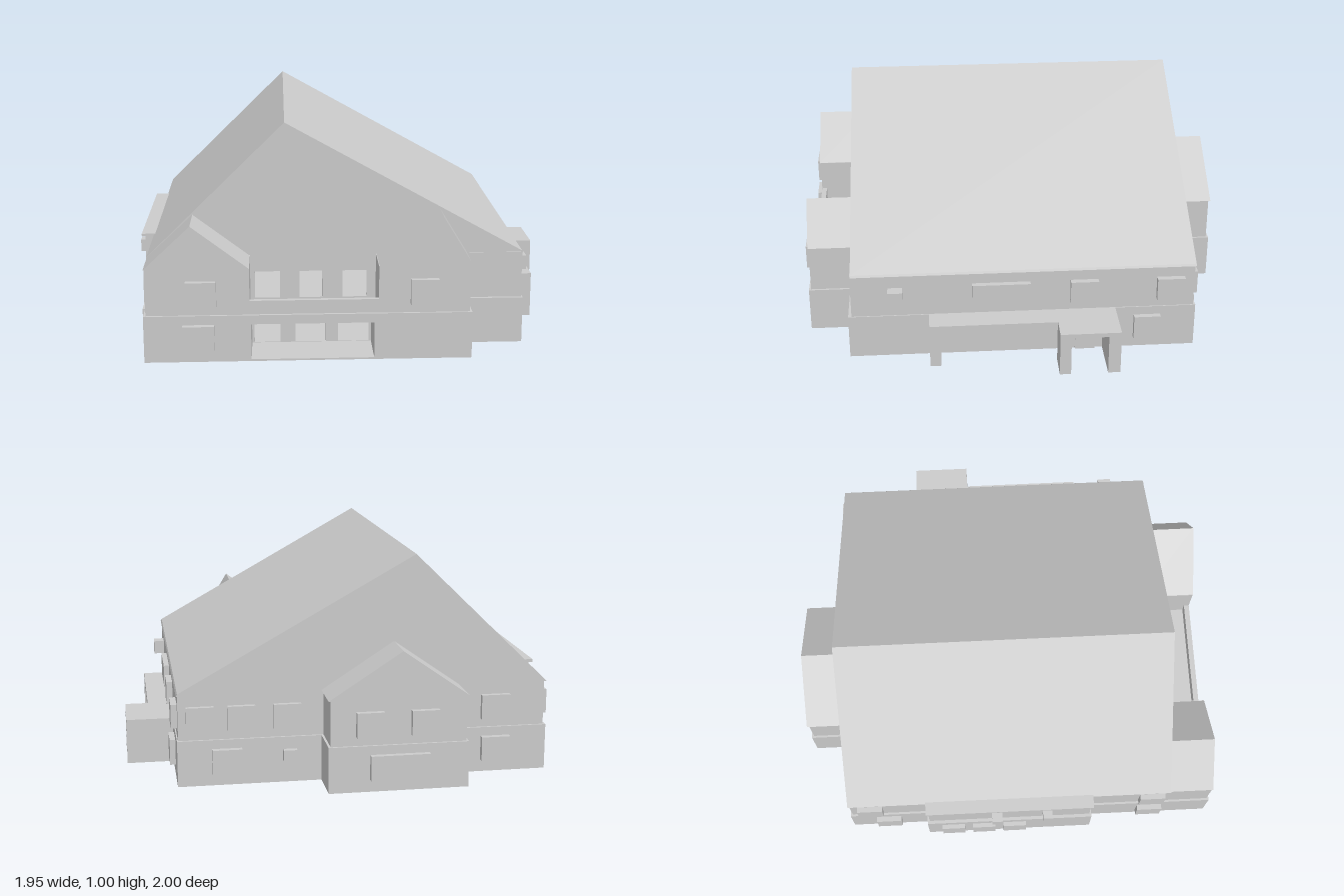
import * as THREE from 'three';

const mat = new THREE.MeshStandardMaterial({ color: 0xcccccc, flatShading: true, side: THREE.DoubleSide });

export function createModel() {
  const house = new THREE.Group();
  house.name = 'house';

  const add = (name, geo, parent = house) => {
    const m = new THREE.Mesh(geo, mat);
    m.name = name;
    parent.add(m);
    return m;
  };
  // Box given by its extents
  const box = (name, x0, x1, y0, y1, z0, z1) =>
    add(name, new THREE.BoxGeometry(x1 - x0, y1 - y0, z1 - z0))
      .position.set((x0 + x1) / 2, (y0 + y1) / 2, (z0 + z1) / 2);
  const shapeOf = pts => new THREE.Shape(pts.map(p => new THREE.Vector2(p[0], p[1])));
  const rect = (x0, x1, y0, y1) => shapeOf([[x0, y0], [x1, y0], [x1, y1], [x0, y1]]);
  const extrude = (shape, depth) => new THREE.ExtrudeGeometry(shape, { depth, bevelEnabled: false });

  // Horizontal slab from a plan outline of [x, z] corners
  const slab = (name, plan, y0, y1) => {
    const geo = extrude(shapeOf(plan.map(([x, z]) => [x, -z])), y1 - y0);
    add(name, geo.rotateX(-Math.PI / 2).translate(0, y0, 0));
  };
  // One wall from a to b, outside to the right; holes are [u0, u1, y0, y1]
  const wall = (name, a, b, y0, y1, holes = [], t = 0.02) => {
    const dx = b[0] - a[0], dz = b[1] - a[1];
    const shape = rect(0, Math.hypot(dx, dz), y0, y1);
    holes.forEach(h => shape.holes.push(rect(...h)));
    const m = add(name, extrude(shape, t).translate(0, 0, -t));
    m.position.set(a[0], 0, a[1]);
    m.rotation.y = Math.atan2(-dz, dx);
  };
  // Closed ring of walls; openings are keyed by the wall's index
  const storey = (name, plan, y0, y1, openings) =>
    plan.forEach((a, i) => wall(name, a, plan[(i + 1) % plan.length], y0, y1, openings[i]));
  // Gable prism along z
  const gable = (name, pts, z0, z1) => add(name, extrude(shapeOf(pts), z1 - z0).translate(0, 0, z0));

  // Ground storey, with the wide porch opening in the front wall
  const lower = [
    [-0.89, 0.97], [0.51, 0.97], [0.51, 0.78], [0.76, 0.78], [0.76, -0.785],
    [0.13, -0.785], [0.13, -0.975], [-0.485, -0.975], [-0.485, -0.785], [-0.89, -0.785],
    [-0.89, -0.41], [-0.945, -0.41], [-0.945, 0.39], [-0.89, 0.39],
  ];
  storey('groundFloorWall', lower, 0.021, 0.224, { 0: [[0.455, 0.98, 0.022, 0.185]] });
  slab('groundFloorSlab', lower, 0.02, 0.028);
  slab('upperFloorSlab', lower, 0.205, 0.225);

  // Porch recess under the balcony
  wall('porchBackWall', [-0.435, 0.76], [0.09, 0.76], 0.02, 0.21,
    [[0.01, 0.125, 0.03, 0.15], [0.19, 0.325, 0.03, 0.15], [0.378, 0.515, 0.03, 0.15]]);
  wall('porchSideWall', [-0.435, 0.96], [-0.435, 0.75], 0.02, 0.21);
  wall('porchSideWall', [0.09, 0.75], [0.09, 0.96], 0.02, 0.21);

  // Upper storey, set back behind the balcony
  const upper = [
    [-0.88, 0.96], [-0.44, 0.96], [-0.44, 0.76], [0.11, 0.76], [0.11, 0.96],
    [0.5, 0.96], [0.5, 0.765], [0.755, 0.765], [0.755, -0.775], [0.12, -0.775],
    [0.12, -0.965], [-0.475, -0.965], [-0.475, -0.775], [-0.88, -0.775],
    [-0.88, -0.4], [-0.93, -0.4], [-0.93, 0.38], [-0.88, 0.38],
  ];
  storey('upperWall', upper, 0.225, 0.43, {
    2: [[0.02, 0.13, 0.235, 0.355], [0.215, 0.315, 0.235, 0.355], [0.405, 0.51, 0.235, 0.355]],
  });
  box('balconyParapet', -0.44, 0.11, 0.22, 0.285, 0.935, 0.957);

  // Roofs
  gable('mainRoof', [[-0.89, 0.425], [0.76, 0.425], [0.755, 0.435], [-0.285, 1.015]], -0.78, 0.762);
  gable('frontGableRoof', [[-0.885, 0.428], [-0.44, 0.428], [-0.685, 0.615]], 0.7, 0.963);
  gable('frontGableRoof', [[0.11, 0.428], [0.505, 0.428], [0.505, 0.44], [0.385, 0.637]], 0.7, 0.963);
  gable('backGableRoof', [[-0.485, 0.428], [0.13, 0.428], [-0.19, 0.635]], -0.973, -0.7);
  box('sideBayRoof', -0.945, -0.87, 0.418, 0.432, -0.41, 0.39);

  // Side carport with its deeper entrance porch
  box('carportRoof', 0.755, 0.865, 0.185, 0.225, -0.16, 0.42);
  box('carportEndWall', 0.755, 0.865, 0.02, 0.19, 0.37, 0.42);
  box('sidePorchRoof', 0.755, 0.97, 0.205, 0.225, -0.42, -0.15);
  box('sidePorchFrontWall', 0.85, 0.97, 0.02, 0.21, -0.2, -0.15);
  box('sidePorchBackWall', 0.755, 0.97, 0.02, 0.21, -0.42, -0.365);
  box('sideDoor', 0.755, 0.772, 0.022, 0.15, -0.33, -0.24);

  // Windows on front and back: x0, x1, y0, y1, wall z, outer z
  [
    [-0.71, -0.58, 0.265, 0.375, 0.95, 0.985],
    [-0.725, -0.59, 0.075, 0.185, 0.96, 0.997],
    [0.245, 0.365, 0.265, 0.375, 0.95, 0.985],
    [0.6, 0.72, 0.265, 0.375, -0.77, -0.797],
    [0.42, 0.54, 0.265, 0.375, -0.77, -0.797],
    [0.22, 0.34, 0.265, 0.375, -0.77, -0.797],
    [0.48, 0.61, 0.075, 0.185, -0.78, -0.812],
    [0.24, 0.3, 0.12, 0.17, -0.78, -0.812],
    [-0.35, -0.23, 0.265, 0.375, -0.96, -0.99],
    [-0.11, 0.01, 0.265, 0.375, -0.96, -0.99],
    [-0.31, -0.05, 0.075, 0.185, -0.97, -1.0],
    [-0.72, -0.59, 0.265, 0.375, -0.77, -0.797],
    [-0.72, -0.59, 0.075, 0.185, -0.78, -0.812],
  ].forEach(([x0, x1, y0, y1, a, b]) => box('window', x0, x1, y0, y1, Math.min(a, b), Math.max(a, b)));

  // Windows on the two sides: z0, z1, y0, y1, wall x, outer x
  [
    [0.535, 0.6, 0.3, 0.365, 0.75, 0.805],
    [-0.035, 0.225, 0.27, 0.375, 0.75, 0.78],
    [-0.34, -0.215, 0.27, 0.375, 0.75, 0.782],
    [-0.73, -0.605, 0.27, 0.375, 0.75, 0.782],
    [-0.625, -0.505, 0.07, 0.185, 0.755, 0.785],
    [-0.74, -0.62, 0.265, 0.375, -0.87, -0.905],
    [-0.66, -0.54, 0.075, 0.185, -0.88, -0.915],
    [-0.095, -0.045, 0.295, 0.35, -0.92, -0.975],
    [0.15, 0.195, 0.295, 0.35, -0.92, -0.97],
    [-0.34, -0.23, 0.075, 0.185, -0.935, -0.965],
    [-0.19, -0.08, 0.075, 0.185, -0.935, -0.965],
    [-0.04, 0.07, 0.075, 0.185, -0.935, -0.965],
    [0.62, 0.74, 0.265, 0.375, -0.87, -0.905],
    [0.62, 0.74, 0.075, 0.185, -0.88, -0.915],
  ].forEach(([z0, z1, y0, y1, a, b]) => box('sideWindow', Math.min(a, b), Math.max(a, b), y0, y1, z0, z1));

  return house;
}
